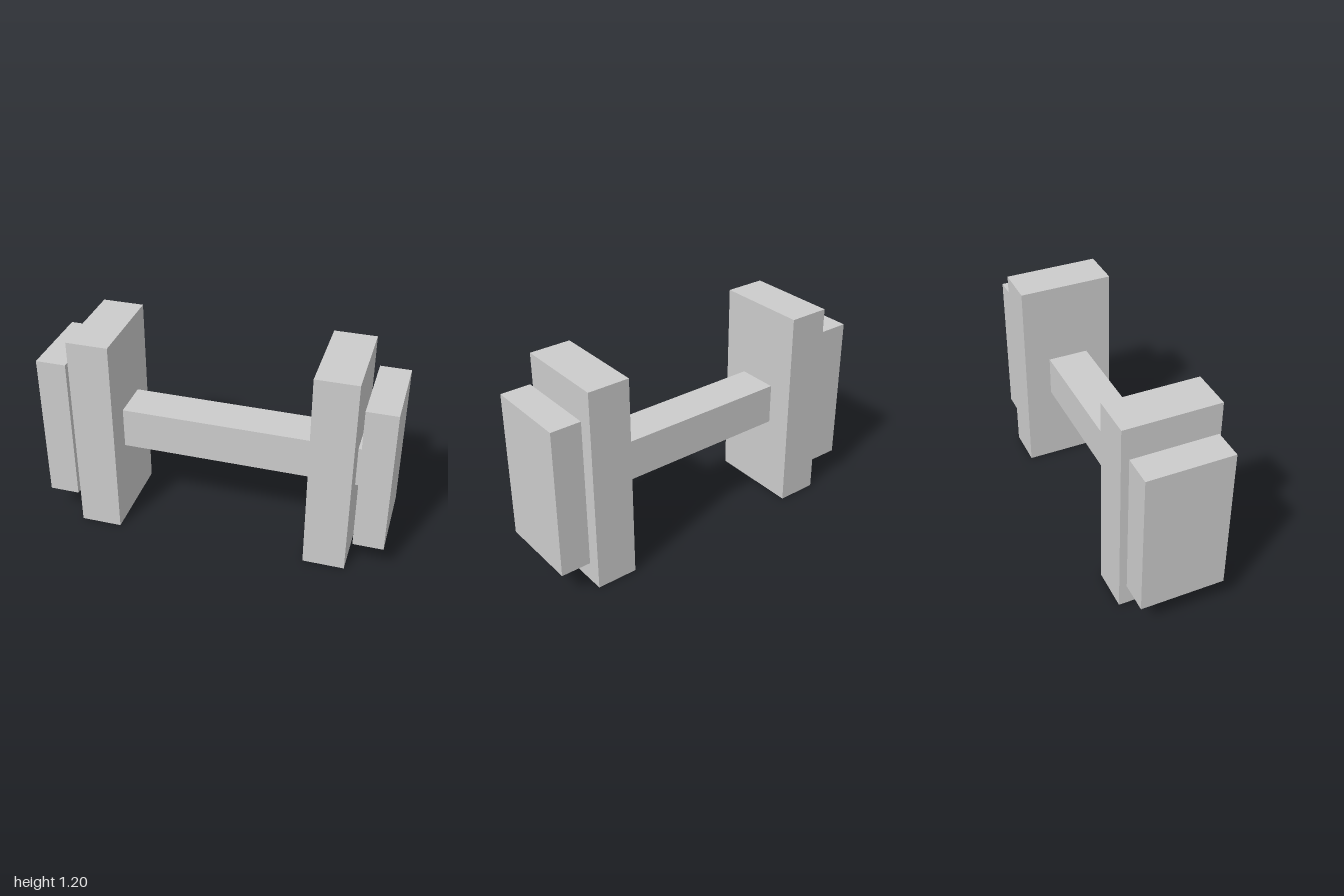
import * as THREE from 'three';

export function createModel() {
  const model = new THREE.Group();
  model.name = 'dumbbell';
  const grey = new THREE.MeshStandardMaterial({ name: 'light grey', color: 0xcccccc });

  function addBlock(name, width, height, depth, x, y) {
    const mesh = new THREE.Mesh(new THREE.BoxGeometry(width, height, depth), grey);
    mesh.name = name;
    mesh.position.set(x, y, 0);
    model.add(mesh);
  }

  // Square handle running through the inner weights to the outer ones
  addBlock('handle', 1.7, 0.24, 0.24, 0, 0.602);

  // A tall inner weight and a smaller outer weight at each end
  for (const [side, sign] of [['left', 1], ['right', -1]]) {
    addBlock(side + 'InnerWeight', 0.239, 1.2, 0.545, sign * 0.6755, 0.6);
    addBlock(side + 'OuterWeight', 0.174, 0.874, 0.487, sign * 0.913, 0.602);
  }
  return model;
}
